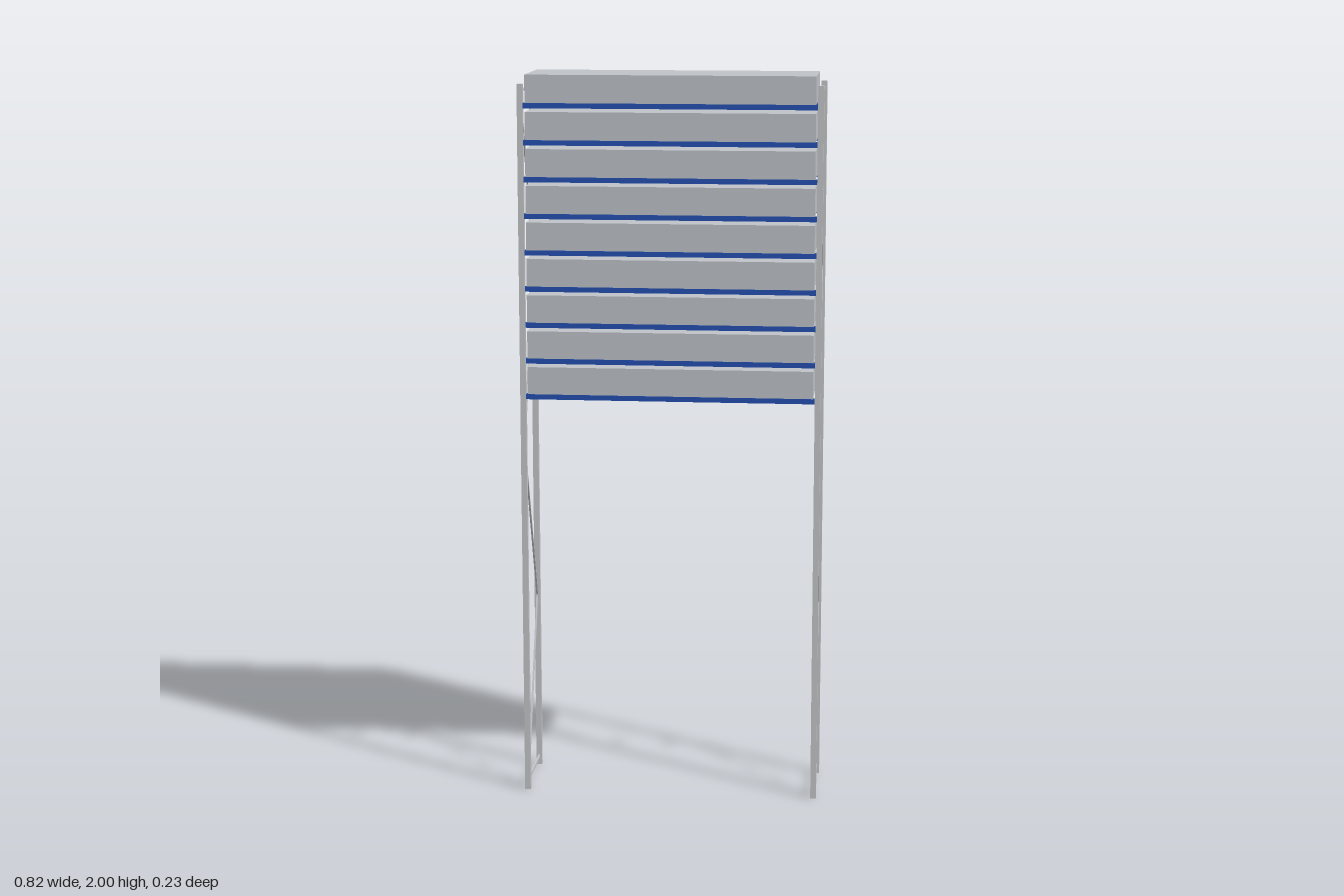
import * as THREE from 'three';

export function createModel() {
  const root = new THREE.Group();
  root.name = 'shelvingRack';

  const crateGrey = new THREE.MeshStandardMaterial({ name: 'crateGrey', color: 0xc0c4ca });
  const steel = new THREE.MeshStandardMaterial({ name: 'steel', color: 0xc6c8cb });
  const beamBlue = new THREE.MeshStandardMaterial({ name: 'beamBlue', color: 0x2450b4 });

  const box = (parent, name, material, size, pos) => {
    const mesh = new THREE.Mesh(new THREE.BoxGeometry(...size), material);
    mesh.name = name;
    mesh.position.set(...pos);
    parent.add(mesh);
    return mesh;
  };

  // Stacked levels: a load resting on a front and a back beam
  const levels = 9, pitch = 0.0988, loadHeight = 0.075, beamHeight = 0.014;
  for (let i = 0; i < levels; i++) {
    const level = new THREE.Group();
    level.name = `level${i + 1}`;
    level.position.y = 2 - loadHeight - (levels - 1 - i) * pitch;
    root.add(level);
    box(level, 'load', crateGrey, [0.778, loadHeight, 0.229], [0, loadHeight / 2, 0]);
    for (const s of [-1, 1]) {
      box(level, s > 0 ? 'frontBeam' : 'backBeam', beamBlue,
        [0.787, beamHeight, 0.015], [0, -beamHeight / 2, s * 0.108]);
    }
  }

  // End frames: two posts, two level ties and a zigzag of thin diagonals
  const postHeight = 1.975, braceY = [0.03, 0.51, 0.99, 1.47, 1.95];
  for (const side of [-1, 1]) {
    const frame = new THREE.Group();
    frame.name = side > 0 ? 'leftFrame' : 'rightFrame';
    frame.position.x = side * 0.402;
    root.add(frame);
    for (const s of [-1, 1]) {
      box(frame, s > 0 ? 'frontPost' : 'backPost', steel,
        [0.016, postHeight, 0.015], [0, postHeight / 2, s * 0.1075]);
    }
    for (const y of [0.025, 1.957]) {
      box(frame, 'tie', steel, [0.005, 0.008, 0.2], [0, y, 0]);
    }
    for (let i = 0; i < 4; i++) {
      const z0 = i % 2 ? -0.1 : 0.1;
      const a = new THREE.Vector3(0, braceY[i], z0);
      const b = new THREE.Vector3(0, braceY[i + 1], -z0);
      const mid = a.clone().add(b).multiplyScalar(0.5);
      const brace = box(frame, 'diagonalBrace', steel,
        [0.005, a.distanceTo(b), 0.004], mid.toArray());
      brace.quaternion.setFromUnitVectors(new THREE.Vector3(0, 1, 0), b.sub(a).normalize());
    }
  }
  return root;
}
